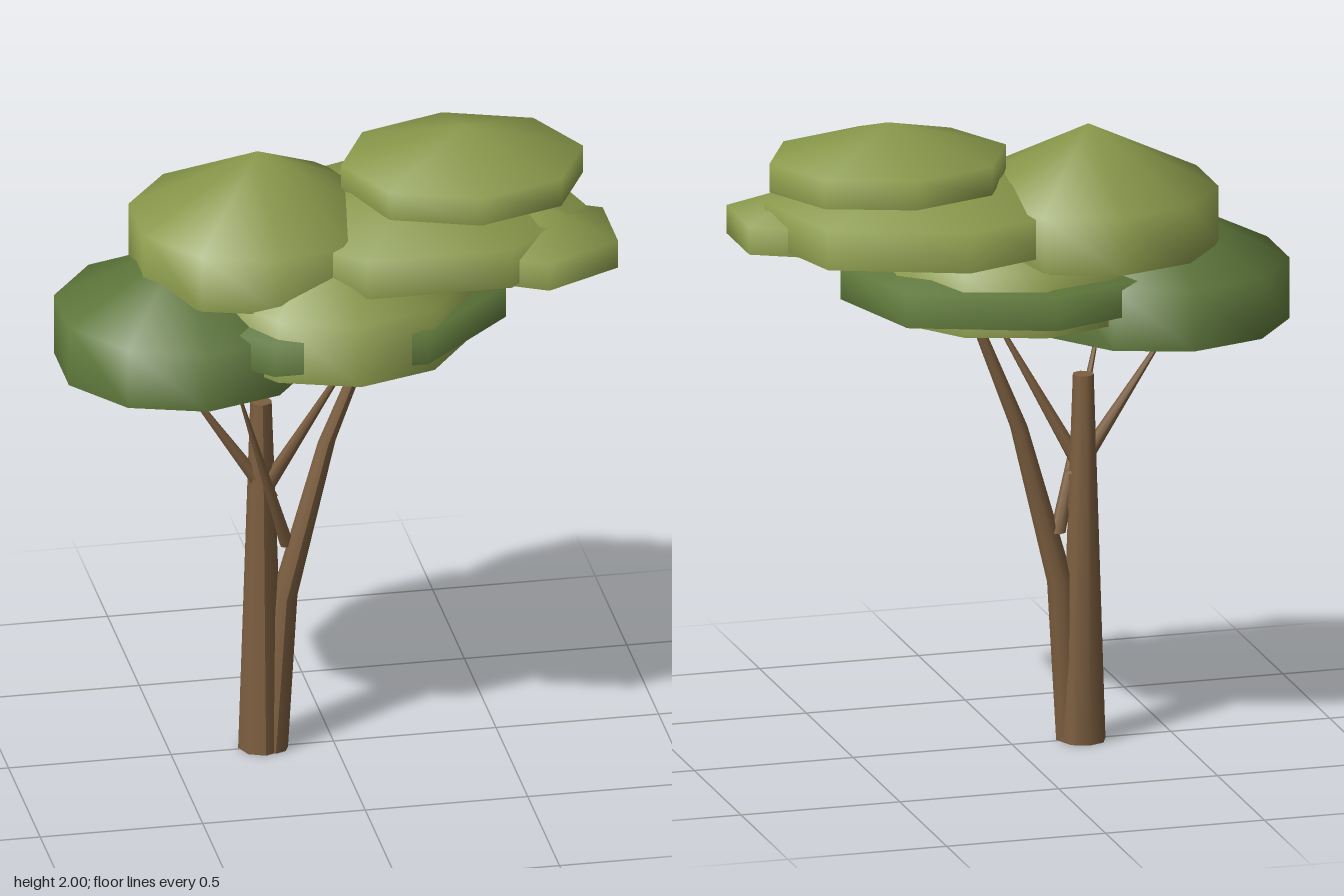
import * as THREE from 'three';
import { mergeVertices } from 'three/addons/utils/BufferGeometryUtils.js';

const mat = (name, color, side = THREE.FrontSide) => {
  const m = new THREE.MeshStandardMaterial({ color, side });
  m.name = name;
  return m;
};

// Weld the seam and shade smoothly
function smooth(geo) {
  geo.deleteAttribute('uv');
  geo.deleteAttribute('normal');
  const g = mergeVertices(geo, 1e-4);
  g.computeVertexNormals();
  return g;
}

// Open-bottomed leaf cap: upright wall with a shallow cone on top
function canopyGeometry(sides, [x, z], [rx, rz], [bottom, rim, apex]) {
  const profile = [[1, bottom], [1, rim], [0, apex]].map(p => new THREE.Vector2(...p));
  const geo = new THREE.LatheGeometry(profile, sides, Math.PI);
  geo.scale(rx, 1, rz);
  geo.translate(x, 0, z);
  return smooth(geo);
}

// Tapered limb through level rings given as [x, y, z, radius], from the ground up
function limbGeometry(rings, sides, capped) {
  const last = rings.length - 1;
  const geo = new THREE.CylinderGeometry(1, 1, 1, sides, last, !capped);
  const pos = geo.attributes.position;
  for (let i = 0; i < pos.count; i++) {
    const [x, y, z, r] = rings[Math.round((pos.getY(i) + 0.5) * last)];
    pos.setXYZ(i, x + pos.getX(i) * r, y, z + pos.getZ(i) * r);
  }
  if (!capped) return smooth(geo);
  geo.computeVertexNormals();
  return geo;
}

export function createModel() {
  const tree = new THREE.Group();
  tree.name = 'tree';
  const bark = mat('bark', 0x7d5f40);
  const lightLeaf = mat('lightLeaf', 0x8a994b, THREE.DoubleSide);
  const darkLeaf = mat('darkLeaf', 0x5d763a, THREE.DoubleSide);

  const add = (name, geo, material) => {
    const mesh = new THREE.Mesh(geo, material);
    mesh.name = name;
    tree.add(mesh);
  };

  // Two trunks rising from one foot
  add('mainTrunk', limbGeometry([
    [-0.22, 0, -0.008, 0.072], [-0.222, 1.15, -0.008, 0.033]], 8, true), bark);
  add('leaningTrunk', limbGeometry([
    [-0.188, 0, 0.01, 0.046], [-0.153, 0.5, 0.005, 0.041],
    [-0.02, 1.0, -0.005, 0.027], [0.125, 1.365, -0.008, 0.016]], 8, true), bark);

  // Thin branches tapering to a point
  const branches = [
    ['leftBranch', [-0.2, 0.84, 0, 0.03], [-0.515, 1.31, -0.01, 0.003]],
    ['frontBranch', [-0.14, 0.66, -0.015, 0.024], [-0.33, 1.285, 0.165, 0.004]],
    ['innerBranch', [-0.215, 0.86, 0.005, 0.028], [0.062, 1.39, 0.125, 0.004]],
  ];
  for (const [name, from, to] of branches) add(name, limbGeometry([from, to], 6, false), bark);

  // Leaf caps: name, sides, centre [x, z], radii [x, z], heights [bottom, rim, apex]
  const canopies = [
    ['rightCanopy', 10, [-0.457, -0.015], [0.397, 0.386], [1.31, 1.5, 1.7], darkLeaf],
    ['lowerCanopy', 7, [-0.02, 0.004], [0.545, 0.424], [1.415, 1.52, 1.62], darkLeaf],
    ['upperRightCanopy', 10, [-0.22, -0.07], [0.394, 0.375], [1.58, 1.76, 1.955], lightLeaf],
    ['frontCanopy', 10, [0, 0.03], [0.41, 0.41], [1.383, 1.585, 1.78], lightLeaf],
    ['middleCanopy', 7, [0.26, -0.03], [0.515, 0.41], [1.625, 1.75, 1.88], lightLeaf],
    ['smallCanopy', 6, [0.595, 0.11], [0.272, 0.245], [1.612, 1.7, 1.79], lightLeaf],
    ['topCanopy', 8, [0.402, -0.037], [0.372, 0.313], [1.81, 1.9, 2.0], lightLeaf],
  ];
  for (const [name, sides, centre, radii, heights, leaf] of canopies)
    add(name, canopyGeometry(sides, centre, radii, heights), leaf);

  return tree;
}
